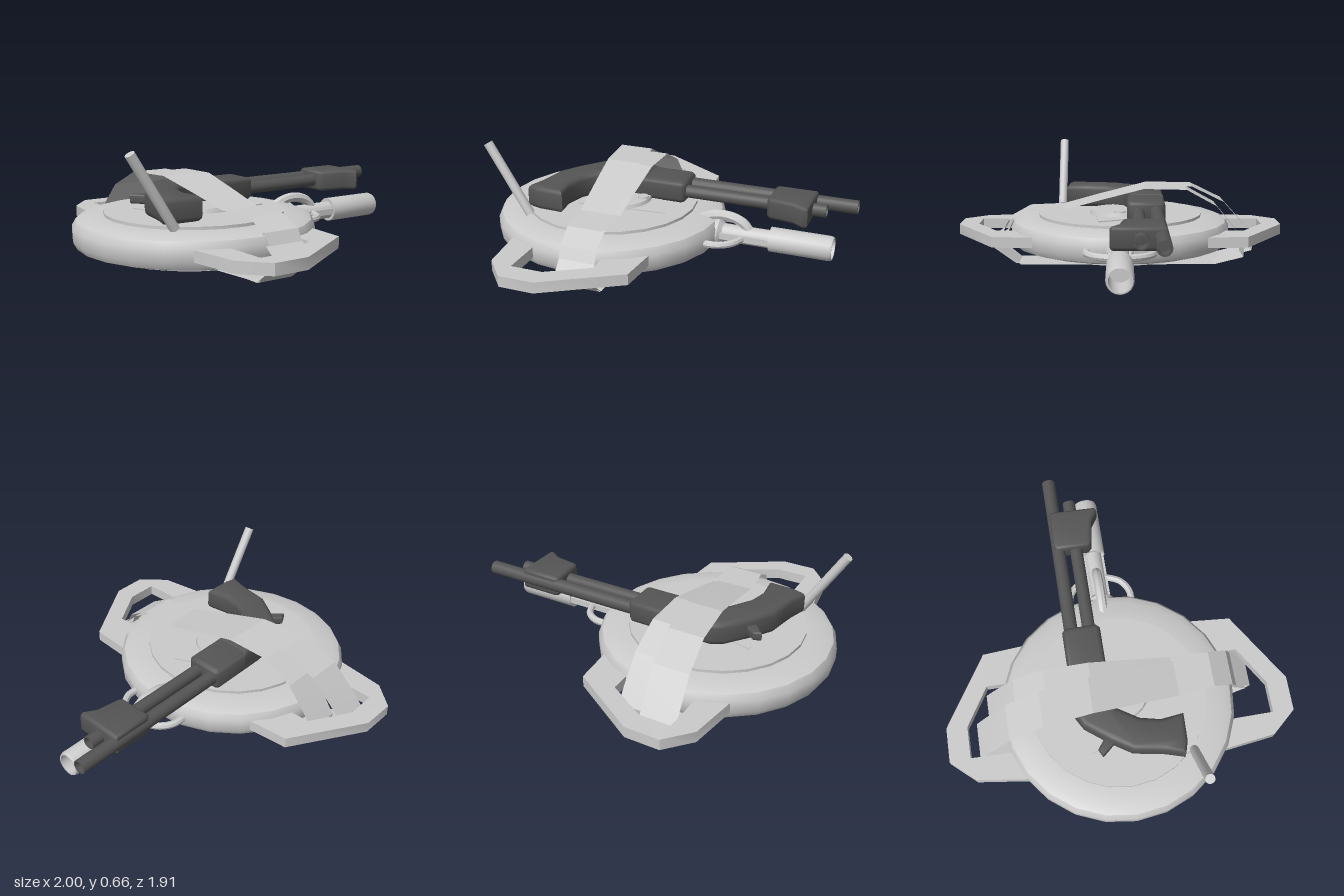
import * as THREE from 'three';
import { toCreasedNormals } from 'three/addons/utils/BufferGeometryUtils.js';

const light = new THREE.MeshStandardMaterial({ color: 0xcccccc, side: THREE.DoubleSide });
const dark = new THREE.MeshStandardMaterial({ color: 0x555555, side: THREE.DoubleSide });
const CX = -0.355; // disc centre

function add(parent, name, geometry, material = light, crease = 0.6) {
  const mesh = new THREE.Mesh(toCreasedNormals(geometry, crease), material);
  mesh.name = name;
  parent.add(mesh);
  return mesh;
}

// Slab with an outline given as [x, z] points, from height y0 to y1
function slab(points, y0, y1, bevel = 0, hole = null) {
  const flip = (list) => list.map(([x, z]) => new THREE.Vector2(x, -z));
  const shape = new THREE.Shape(flip(points));
  if (hole) shape.holes.push(new THREE.Path(flip(hole)));
  const geometry = new THREE.ExtrudeGeometry(shape, {
    depth: y1 - y0 - 2 * bevel, bevelEnabled: bevel > 0, bevelSize: bevel,
    bevelThickness: bevel, bevelOffset: -bevel, bevelSegments: 3,
  });
  return geometry.rotateX(-Math.PI / 2).translate(0, y0 + bevel, 0);
}

// Lathe turned along x from [radius, x] points
function turned(profile, y, z, segments = 16) {
  return new THREE.LatheGeometry(profile.map(([r, x]) => new THREE.Vector2(r, x)), segments)
    .rotateZ(-Math.PI / 2).translate(0, y, z);
}

// Hollow-ended pipe along x
const pipe = (r, x0, x1, y, z) => turned(
  [[0, x0], [r, x0], [r, x1], [r * 0.78, x1], [r * 0.78, x1 - 0.08], [0, x1 - 0.08]], y, z);

function tube(points, radius) {
  const curve = new THREE.CatmullRomCurve3(points.map((p) => new THREE.Vector3(...p)));
  return new THREE.TubeGeometry(curve, 14, radius, 8);
}

// Closed flat band; path holds [z, y], centre x changes linearly from back to front
function band(path, xBack, xFront, width) {
  const pos = [], idx = [], n = path.length;
  for (const [z, y] of path) {
    const x = xBack + (xFront - xBack) * (z + 0.79) / 1.55;
    pos.push(x - width / 2, y, z, x + width / 2, y, z);
  }
  for (let i = 0; i < n; i++) {
    const a = 2 * i, b = 2 * ((i + 1) % n);
    idx.push(a, a + 1, b, a + 1, b + 1, b);
  }
  const g = new THREE.BufferGeometry();
  g.setAttribute('position', new THREE.Float32BufferAttribute(pos, 3));
  g.setIndex(idx);
  return g;
}

export function createModel() {
  const model = new THREE.Group();
  model.name = 'strappedDisc';

  // Round body with raised caps
  const profile = [[0, 0.06], [0.48, 0.06], [0.48, 0.083], [0.58, 0.09], [0.625, 0.105], [0.645, 0.14],
    [0.645, 0.205], [0.625, 0.24], [0.585, 0.257], [0.48, 0.264], [0.48, 0.28], [0, 0.28]];
  add(model, 'discBody', new THREE.LatheGeometry(profile.map((p) => new THREE.Vector2(...p)), 24)
    .translate(CX, 0, 0));

  // Details on top of the disc
  add(model, 'topPlate', slab([[-0.63, -0.18], [-0.07, -0.05], [0.01, 0.12], [-0.5, 0.16]], 0.27, 0.286));
  add(model, 'centreBoss', new THREE.CylinderGeometry(0.17, 0.18, 0.03, 24).translate(-0.305, 0.29, 0));
  add(model, 'bossKnob', new THREE.CylinderGeometry(0.03, 0.035, 0.03, 12).translate(-0.17, 0.3, 0));

  // Carrying handles, front and back
  for (const s of [-1, 1]) {
    const side = (list) => list.map(([x, z]) => [x, z * s]);
    const outer = side([[-0.71, 0.45], [-0.66, 0.82], [-0.54, 0.955], [-0.35, 0.955],
      [0.045, 0.71], [0.065, 0.45]]);
    const hole = side([[-0.54, 0.55], [-0.535, 0.84], [-0.36, 0.84], [-0.145, 0.71], [-0.145, 0.55]]);
    add(model, s > 0 ? 'frontHandle' : 'backHandle', slab(outer, 0.145, 0.205, 0, hole));
  }

  // Two overlapping straps threaded around the body
  const path = [[0.67, 0.2], [0.64, 0.26], [0.53, 0.32], [0.33, 0.325], [0.12, 0.38], [-0.15, 0.445],
    [-0.42, 0.44], [-0.61, 0.345], [-0.74, 0.2], [-0.795, 0.13], [-0.785, 0.05], [-0.6, 0.008],
    [0.6, 0.008], [0.76, 0.13]];
  add(model, 'slantedStrap', band(path, -0.43, -0.245, 0.2), light, 0.1);
  const inner = path.map(([z, y]) => [z * (z < 0 ? 0.91 : 0.96), y > 0.1 ? y - 0.004 : Math.max(y - 0.008, 0)]);
  add(model, 'straightStrap', band(inner, -0.27, -0.262, 0.19), light, 0.1);

  // Leaning rod
  const from = new THREE.Vector3(-0.69, 0.27, 0.36), to = new THREE.Vector3(-0.925, 0.65, 0.36);
  const rod = add(model, 'antenna', new THREE.CylinderGeometry(0.026, 0.026, from.distanceTo(to), 12));
  rod.position.copy(from).lerp(to, 0.5);
  rod.quaternion.setFromUnitVectors(new THREE.Vector3(0, 1, 0), to.clone().sub(from).normalize());

  // Nozzle on the side, with brace loops
  add(model, 'nozzleNeck', turned([[0.075, 0.2], [0.075, 0.29], [0.05, 0.31], [0.05, 0.6]], 0.17, 0));
  add(model, 'nozzle', turned([[0.045, 0.575], [0.068, 0.575], [0.068, 0.9], [0.062, 0.915],
    [0.055, 0.915], [0.055, 0.72], [0, 0.72]], 0.172, 0, 20));
  for (const s of [-1, 1]) {
    add(model, 'sideLoop', tube([[0.22, 0.17, s * 0.175], [0.32, 0.17, s * 0.175],
      [0.39, 0.17, s * 0.13], [0.43, 0.17, s * 0.04]], 0.02));
    add(model, 'neckRail', new THREE.BoxGeometry(0.28, 0.035, 0.03).translate(0.44, 0.17, s * 0.045));
  }
  add(model, 'topLoop', tube([[0.17, 0.23, 0], [0.25, 0.265, 0], [0.34, 0.27, 0],
    [0.42, 0.24, 0], [0.46, 0.19, 0]], 0.028));

  // Firearm lying on top
  const gun = new THREE.Group();
  gun.name = 'firearm';
  model.add(gun);
  add(gun, 'grip', slab([[-0.73, 0.3], [-0.66, 0.32], [-0.51, 0.325], [-0.525, 0.2], [-0.5, 0.09],
    [-0.43, -0.02], [-0.32, -0.05], [-0.17, -0.05], [-0.17, -0.25], [-0.43, -0.25], [-0.5, -0.21],
    [-0.6, -0.08], [-0.67, 0.03], [-0.685, 0.12], [-0.7, 0.2]], 0.28, 0.415, 0.03), dark, 0.9);
  add(gun, 'receiver', slab([[-0.3, -0.25], [0.04, -0.25], [0.06, -0.23], [0.06, -0.06], [0.04, -0.04],
    [-0.3, -0.04]], 0.28, 0.405, 0.025), dark, 0.9);
  add(gun, 'hammer', slab([[-0.67, -0.13], [-0.63, -0.15], [-0.56, -0.1], [-0.6, -0.05]], 0.32, 0.37, 0.01), dark);
  add(gun, 'barrel', pipe(0.038, 0, 1, 0.343, -0.2), dark);
  add(gun, 'magazineTube', pipe(0.036, 0, 0.85, 0.338, -0.1), dark);
  add(gun, 'pump', slab([[0.54, -0.21], [0.56, -0.225], [0.77, -0.225], [0.78, -0.21], [0.775, 0.04],
    [0.755, 0.05], [0.69, 0.01], [0.56, -0.01], [0.54, -0.03]], 0.28, 0.4, 0.02), dark, 0.9);
  return model;
}
